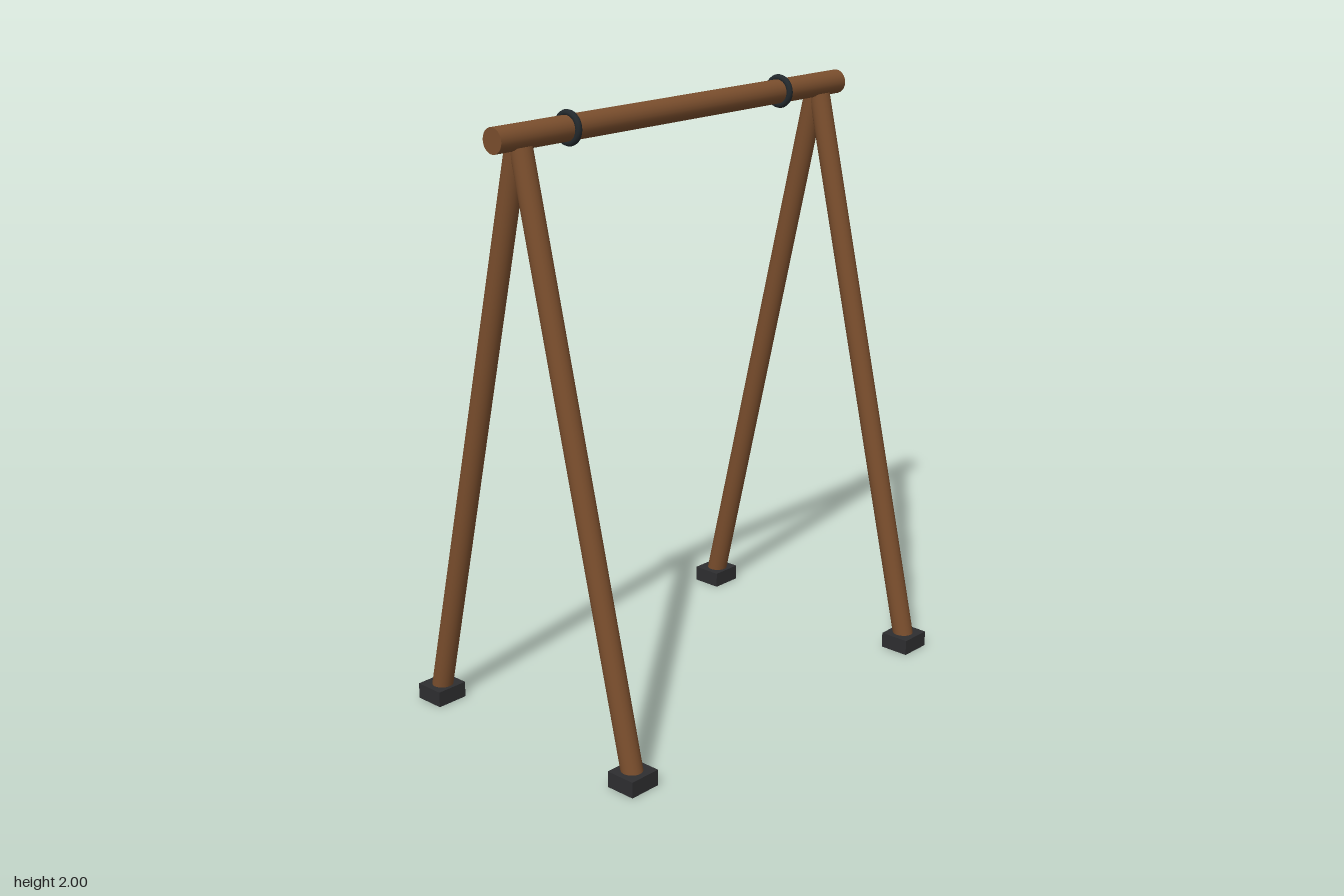
import * as THREE from 'three';

const mat = (name, color) => {
  const m = new THREE.MeshStandardMaterial({ color });
  m.name = name;
  return m;
};

export function createModel() {
  const group = new THREE.Group();
  group.name = 'swingFrame';
  const wood = mat('brown wood', 0x7a4e2d);
  const rubber = mat('dark rubber', 0x2e2e30);
  const iron = mat('dark iron', 0x23292d);

  const add = (name, geometry, material, x, y, z) => {
    const mesh = new THREE.Mesh(geometry, material);
    mesh.name = name;
    mesh.position.set(x, y, z);
    group.add(mesh);
    return mesh;
  };

  // Round top beam
  const beamY = 1.945;
  add('topBeam', new THREE.CylinderGeometry(0.04, 0.04, 1.58, 24), wood, 0, beamY, 0)
    .rotation.z = Math.PI / 2;

  const footGeometry = new THREE.BoxGeometry(0.112, 0.053, 0.104);
  const ringGeometry = new THREE.TorusGeometry(0.045, 0.011, 10, 32);
  const up = new THREE.Vector3(0, 1, 0);

  for (const side of [-1, 1]) {
    // Hanger ring around the beam
    add('hangerRing', ringGeometry, iron, side * 0.487, beamY, 0).rotation.y = Math.PI / 2;

    // Splayed pair of legs, each on a block foot
    for (const end of [-1, 1]) {
      const bottom = new THREE.Vector3(side * 0.688, 0.025, end * 0.447);
      const top = new THREE.Vector3(side * 0.688, 1.913, end * 0.011);
      const axis = top.clone().sub(bottom);
      const mid = bottom.clone().add(top).multiplyScalar(0.5);
      const leg = add('leg', new THREE.CylinderGeometry(0.035, 0.035, axis.length(), 20),
        wood, mid.x, mid.y, mid.z);
      leg.quaternion.setFromUnitVectors(up, axis.normalize());
      add('foot', footGeometry, rubber, side * 0.688, 0.0265, end * 0.445);
    }
  }
  return group;
}
